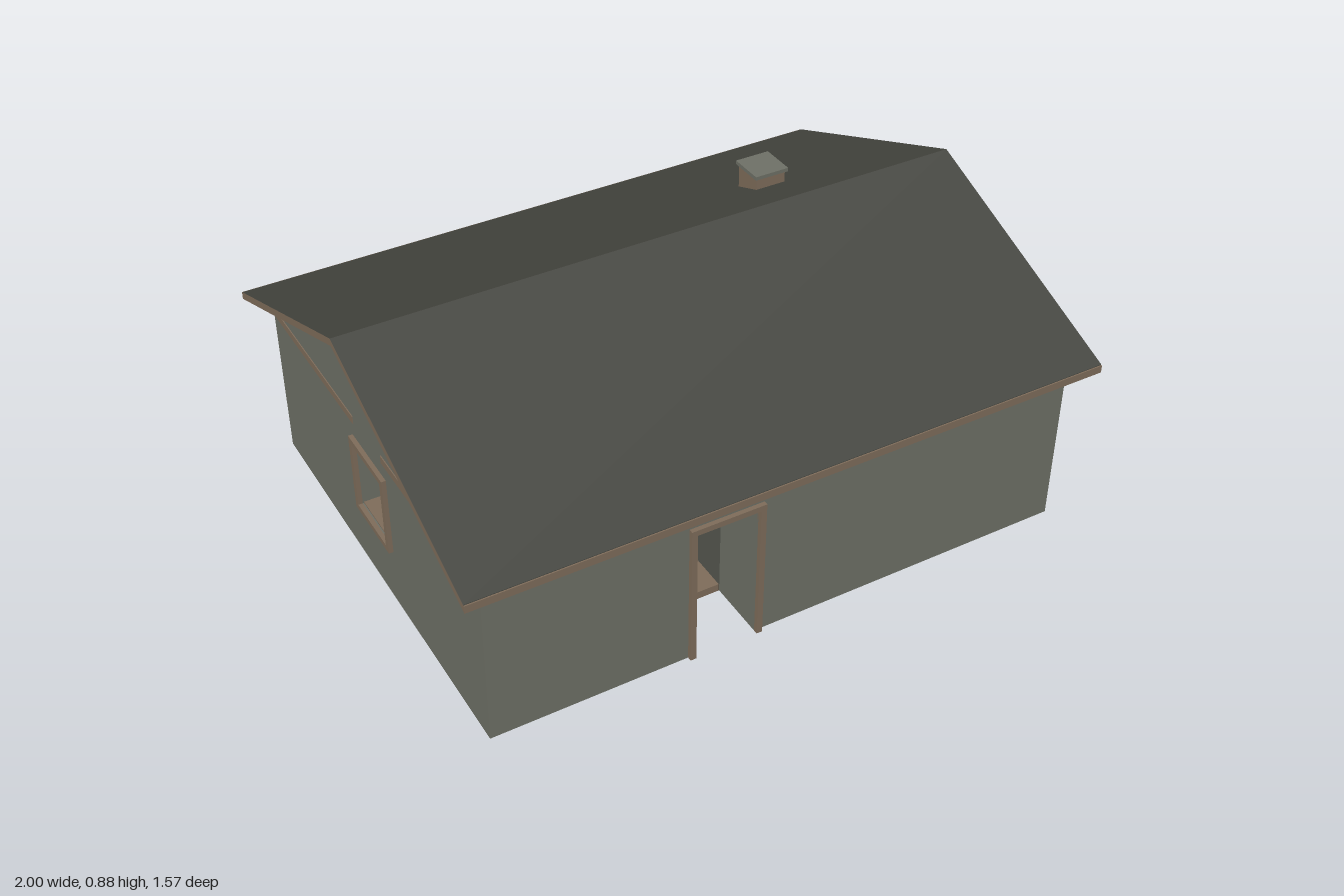
import * as THREE from 'three';

const wallGrey = new THREE.MeshStandardMaterial({ color: 0x6e7066, side: THREE.DoubleSide });
const timber = new THREE.MeshStandardMaterial({ color: 0x7e6c5a });
const roofDark = new THREE.MeshStandardMaterial({ color: 0x454640 });
wallGrey.name = 'wall grey';
timber.name = 'timber tan';
roofDark.name = 'roof dark';

const X = 0.93, Z = 0.72, T = 0.19, H = 0.56;

function add(parent, name, geometry, material) {
  const mesh = new THREE.Mesh(geometry, material);
  mesh.name = name;
  parent.add(mesh);
  return mesh;
}

// Box given by its limits on each axis
function box(parent, name, material, [x0, x1], [y0, y1], [z0, z1], openBottom = false) {
  const g = new THREE.BoxGeometry(x1 - x0, y1 - y0, z1 - z0);
  if (openBottom) {
    const index = Array.from(g.index.array);
    index.splice(18, 6);
    g.setIndex(index);
    g.clearGroups();
  }
  g.translate((x0 + x1) / 2, (y0 + y1) / 2, (z0 + z1) / 2);
  return add(parent, name, g, material);
}

// Trim around an opening, standing slightly proud of the wall
function frame(parent, { x0, x1, y0, y1 }) {
  const w = 0.018, z = [-0.004, 0.014];
  const low = y0 > 0 ? y0 - w : 0;
  box(parent, 'frameSide', timber, [x0 - w, x0], [low, y1 + w], z);
  box(parent, 'frameSide', timber, [x1, x1 + w], [low, y1 + w], z);
  box(parent, 'frameHead', timber, [x0, x1], [y1, y1 + w], z);
  if (y0 > 0) box(parent, 'frameSill', timber, [x0, x1], [y0 - w, y0], z);
}

// Hollow wall along x with its outer face at z = 0, split around its openings
function wall(name, half, openings, corner = 0) {
  const g = new THREE.Group();
  g.name = name;
  const edges = [-half, ...openings.flatMap((o) => [o.x0, o.x1]), half];
  for (let i = 0; i < edges.length; i += 2) {
    const a = edges[i], b = edges[i + 1];
    box(g, 'wallSegment', wallGrey, [a, b], [0, H], [-T, 0], true);
    const s0 = i === 0 ? a - corner : a;
    const s1 = i === edges.length - 2 ? b + corner : b;
    box(g, 'wallPlate', timber, [s0, s1], [0.502, 0.527], [-0.003, 0.003]);
  }
  for (const o of openings) {
    const span = [o.x0, o.x1], inner = [-T, -0.004];
    box(g, 'lintel', wallGrey, span, [o.y1, H], [-T, 0]);
    box(g, 'lintelLining', timber, span, [o.y1 - 0.004, o.y1], inner);
    if (o.y0 > 0) {
      box(g, 'wallUnderWindow', wallGrey, span, [0, o.y0], [-T, 0], true);
      box(g, 'sillLining', timber, span, [o.y0, o.y0 + 0.004], inner);
      box(g, 'wallFooting', timber, span, [0.002, 0.008], inner);
    }
    frame(g, o);
  }
  return g;
}

const windowAt = (x) => ({ x0: x - 0.1, x1: x + 0.1, y0: 0.21, y1: 0.433 });

// Stepped gable above an end wall
function gable(parent) {
  const run = 0.103, rise = 0.0455, steps = 6;
  const right = [];
  for (let i = 0; i < steps; i++) {
    const z = 0.619 - i * run;
    right.push([z, H + i * rise], [z, H + (i + 1) * rise]);
  }
  const left = right.map(([z, y]) => [-z, y]).reverse();
  const shape = new THREE.Shape([...right, ...left].map(([z, y]) => new THREE.Vector2(z, y)));
  const geo = new THREE.ExtrudeGeometry(shape, { depth: T, bevelEnabled: false });
  geo.translate(0, 0, -T);
  add(parent, 'steppedGable', geo, wallGrey);
}

export function createModel() {
  const house = new THREE.Group();
  house.name = 'house';

  // Long walls
  const front = wall('frontWall', X, [{ x0: -0.305, x1: -0.108, y0: 0, y1: 0.45 }]);
  front.position.z = Z;
  const back = wall('backWall', X, [windowAt(-0.415), windowAt(0.415)]);
  back.rotation.y = Math.PI;
  back.position.z = -Z;
  house.add(front, back);

  // End walls with gables
  for (const s of [1, -1]) {
    const end = wall(s > 0 ? 'leftEndWall' : 'rightEndWall', Z - T, [windowAt(0)], T);
    gable(end);
    end.rotation.y = s * Math.PI / 2;
    end.position.x = s * X;
    house.add(end);
  }

  // Floors, partition and ceiling
  const inX = X - T, inZ = Z - T;
  box(house, 'darkFloorEast', roofDark, [0.09, inX], [0, 0.025], [-inZ, inZ]);
  box(house, 'timberFloor', timber, [-inX, -0.11], [0, 0.025], [-inZ, inZ]);
  for (const s of [1, -1]) {
    box(house, 'darkFloorPassage', roofDark, [-0.11, 0.09], [0, 0.025], s > 0 ? [0.3, inZ] : [-inZ, -0.3]);
  }
  box(house, 'partition', wallGrey, [-0.11, 0.09], [0, 0.502], [-0.3, 0.3], true);
  box(house, 'ceiling', timber, [-inX, inX], [0.502, 0.527], [-inZ, inZ]);

  // Pitched roof with timber ends
  const e = 0.782;
  const profile = [[-e, 0.541], [0, 0.855], [e, 0.541], [e, 0.566], [0, 0.879], [-e, 0.566]];
  const shape = new THREE.Shape(profile.map(([z, y]) => new THREE.Vector2(z, y)));
  const roofGeo = new THREE.ExtrudeGeometry(shape, { depth: 2, bevelEnabled: false });
  roofGeo.translate(0, 0, -1);
  roofGeo.rotateY(-Math.PI / 2);
  add(house, 'roof', roofGeo, [timber, roofDark]);
  for (const s of [1, -1]) {
    const z = s > 0 ? [e, e + 0.004] : [-e - 0.004, -e];
    box(house, 'eaveBoard', timber, [-1, 1], [0.54, 0.564], z);
  }

  // Chimney
  box(house, 'chimney', timber, [0.44, 0.54], [0.745, 0.841], [-0.288, -0.188]);
  box(house, 'chimneyCap', wallGrey, [0.433, 0.547], [0.841, 0.853], [-0.296, -0.181]);

  return house;
}
